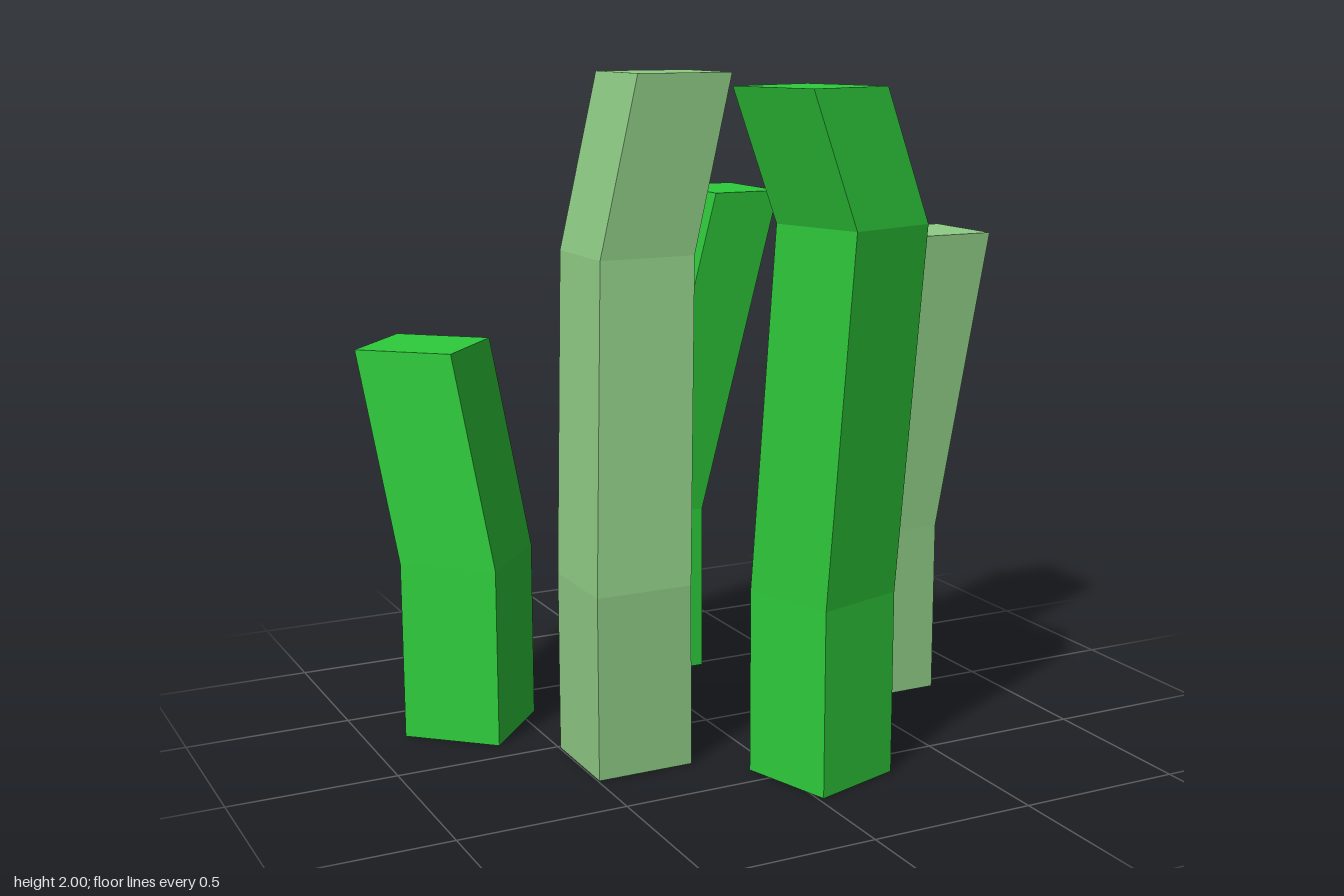
import * as THREE from 'three';

const GREEN = 0x2fcc3c;
const PALE = 0x8fcc86;

// Each stalk: footprint centre [x, z], size [w, d], turn about y,
// and path levels [height, x shift, z shift]
const STALKS = [
  { name: 'tallPaleStalk', color: PALE, at: [-0.348, 0.155], size: [0.295, 0.29], turn: 0,
    path: [[0, 0, 0], [0.545, 0, 0], [1.485, 0.07, -0.115], [2, 0.19, -0.115]] },
  { name: 'shortPaleStalk', color: PALE, at: [0.665, -0.093], size: [0.272, 0.295], turn: 0,
    path: [[0, 0, 0], [0.545, 0, 0], [1.485, 0.165, 0.02]] },
  { name: 'frontGreenStalk', color: GREEN, at: [0.11, 0.518], size: [0.288, 0.292], turn: 0.3,
    path: [[0, 0, 0], [0.545, 0, 0], [1.605, 0.015, 0.11], [1.975, -0.12, 0.11]] },
  { name: 'backGreenStalk', color: GREEN, at: [0.113, -0.643], size: [0.225, 0.335], turn: 0,
    path: [[0, 0, 0], [0.545, 0, 0], [1.605, 0.215, 0.12]] },
  { name: 'sideGreenStalk', color: GREEN, at: [-0.665, -0.303], size: [0.308, 0.304], turn: 0.84,
    path: [[0, 0, 0], [0.545, 0, 0], [1.19, -0.09, -0.09]] },
];

// A box whose rows of vertices are moved onto the levels of a bent path
function bentBar({ size: [w, d], turn, path }) {
  const steps = path.length - 1;
  const geo = new THREE.BoxGeometry(w, steps, d, 1, steps, 1);
  geo.translate(0, steps / 2, 0);
  geo.rotateY(turn);
  const pos = geo.attributes.position;
  for (let i = 0; i < pos.count; i++) {
    const [y, dx, dz] = path[Math.round(pos.getY(i))];
    pos.setXYZ(i, pos.getX(i) + dx, y, pos.getZ(i) + dz);
  }
  geo.computeVertexNormals();
  return geo;
}

export function createModel() {
  const group = new THREE.Group();
  group.name = 'stalks';
  for (const stalk of STALKS) {
    const material = new THREE.MeshStandardMaterial({ color: stalk.color, flatShading: true });
    const mesh = new THREE.Mesh(bentBar(stalk), material);
    mesh.name = stalk.name;
    mesh.position.set(stalk.at[0], 0, stalk.at[1]);
    group.add(mesh);
  }
  return group;
}
